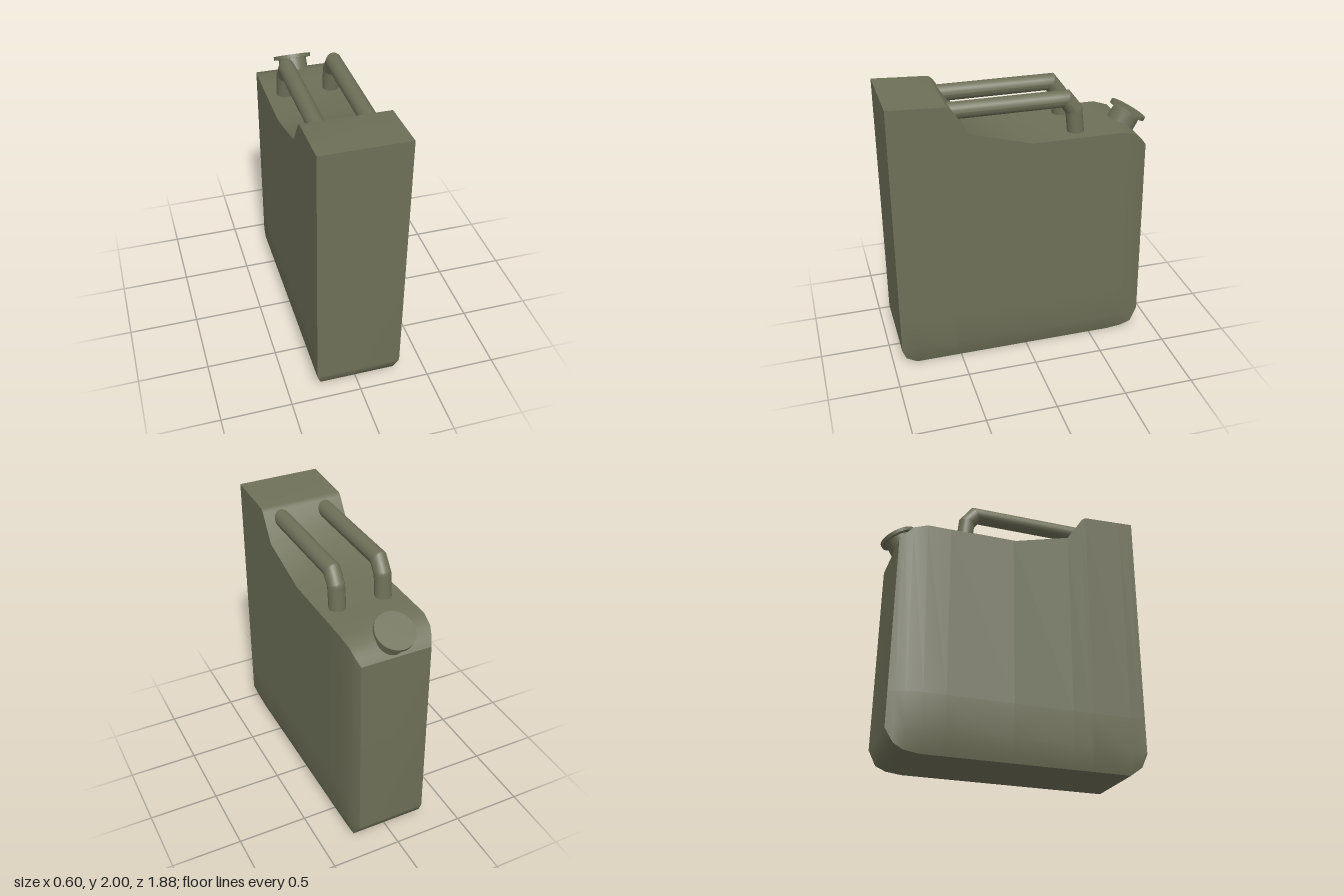
import * as THREE from 'three';

const olive = new THREE.MeshStandardMaterial({ color: 0x6e7058 });
const lerp = THREE.MathUtils.lerp;
const V = (x, y, z) => new THREE.Vector3(x, y, z);

// Smooth surface through rows of points (outside is along-rows x along-columns).
function grid(rows) {
  const n = rows[0].length, index = [];
  for (let i = 0; i < rows.length - 1; i++)
    for (let j = 0; j < n - 1; j++) {
      const a = i * n + j, b = a + 1, c = a + n, d = c + 1;
      index.push(a, c, b, b, c, d);
    }
  const geo = new THREE.BufferGeometry().setFromPoints(rows.flat());
  geo.setIndex(index);
  geo.computeVertexNormals();
  return geo;
}

function add(parent, name, geo) {
  const mesh = new THREE.Mesh(geo, olive);
  mesh.name = name;
  parent.add(mesh);
  return mesh;
}

// Stations front to back: top z, top y, bottom z, bottom y, rear taper 0..1
const stations = [
  [0.94, 2.0, 0.94, 0.15, 0], [0.91, 1.998, 0.91, 0.06, 0], [0.83, 1.994, 0.83, 0, 0],
  [0.55, 1.98, 0.55, 0, 0], [0.523, 1.96, 0.523, 0, 0], [0.4, 1.775, 0.4, 0, 0],
  [-0.03, 1.66, -0.03, 0, 0], [-0.5, 1.66, -0.5, 0, 0], [-0.67, 1.66, -0.65, 0, 0],
  [-0.77, 1.63, -0.76, 0.015, 0.27], [-0.82, 1.58, -0.83, 0.05, 0.58],
  [-0.86, 1.53, -0.885, 0.15, 1],
];

// Half width shrinks toward the rear and toward the bottom.
const halfWidth = (y, taper) => 0.3 - 0.05 * Math.max(taper, 1 - Math.min(y / 0.15, 1));

// One station as a line of points from top to bottom on the +x side.
const column = ([zt, yt, zb, yb, taper]) => [yt, 0.4, 0.15, yb].map((y) =>
  V(halfWidth(y, taper), y, lerp(zb, zt, (y - yb) / (yt - yb))));

function makeBody() {
  const body = new THREE.Group();
  body.name = 'canBody';
  const mirror = (p) => V(-p.x, p.y, p.z);
  const left = stations.map(column);
  add(body, 'leftSide', grid(left.map((c) => [...c].reverse())));
  add(body, 'rightSide', grid(left.map((c) => c.map(mirror))));

  const tops = left.map((c) => c[0]), bottoms = left.map((c) => c[3]);
  add(body, 'topPanel', grid(tops.map((p) => [p, mirror(p)])));
  // Front wall, rounded base and rear wall as one continuous band
  const band = [tops[0], ...bottoms, tops[tops.length - 1]];
  add(body, 'frontBaseAndRear', grid(band.map((p) => [mirror(p), p])));
  return body;
}

// Bent round bar with mitred corners, in the plane of constant x.
function barGeometry(x, path, r, sides = 20) {
  const pts = path.map(([z, y]) => new THREE.Vector2(z, y));
  const rows = pts.map((p, i) => {
    const din = p.clone().sub(pts[i - 1] || p).normalize();
    const dout = (pts[i + 1] || p).clone().sub(p).normalize();
    const t = din.clone().add(dout).normalize();
    const stretch = 1 / t.dot(i ? din : dout);
    return Array.from({ length: sides + 1 }, (_, j) => {
      const a = (j / sides) * Math.PI * 2, s = Math.sin(a) * r * stretch;
      return V(x + Math.cos(a) * r, p.y - t.x * s, p.x + t.y * s);
    });
  });
  // Extra rings beside each corner keep the bends crisp
  const dense = [];
  rows.forEach((row, i) => {
    if (i) {
      const prev = rows[i - 1];
      for (const f of [0.08, 0.92]) dense.push(row.map((p, j) => prev[j].clone().lerp(p, f)));
    }
    dense.push(row);
  });
  return grid(dense);
}

export function createModel() {
  const model = new THREE.Group();
  model.name = 'fuelCan';
  model.add(makeBody());

  // Pair of carrying handles running from the tall front block to the top panel
  const path = [[0.56, 1.9], [-0.287, 1.9], [-0.35, 1.818], [-0.372, 1.62]];
  add(model, 'leftHandle', barGeometry(0.168, path, 0.058));
  add(model, 'rightHandle', barGeometry(-0.168, path, 0.058));

  // Tilted spout with a flat lid
  const spout = new THREE.Group();
  spout.name = 'spout';
  spout.position.set(0, 1.707, -0.824);
  spout.rotation.x = -Math.PI / 6;
  const neck = add(spout, 'spoutNeck', new THREE.CylinderGeometry(0.102, 0.108, 0.2, 32));
  neck.position.y = -0.115;
  const lid = add(spout, 'spoutLid', new THREE.CylinderGeometry(0.136, 0.136, 0.026, 32));
  lid.position.y = -0.013;
  model.add(spout);
  return model;
}
